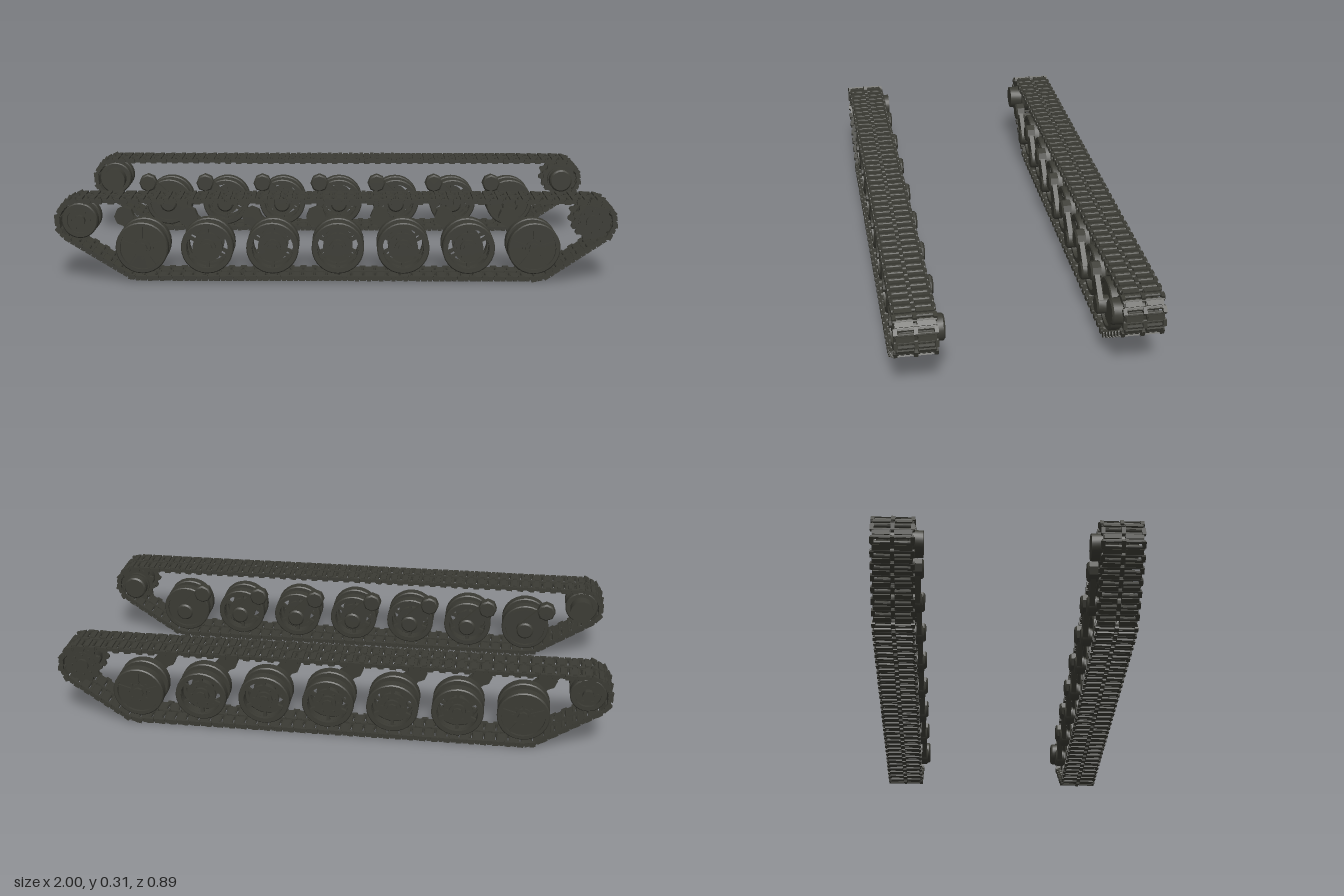
import * as THREE from 'three';
import { mergeGeometries, toCreasedNormals } from 'three/addons/utils/BufferGeometryUtils.js';

const WHEEL_Y = 0.12, WHEEL_R = 0.094, FIRST_X = -0.693, STEP = 0.2335;
const END_X = 0.912, END_Y = 0.219, TRACK_Z = 0.372;
const TYRES = [[0.315, 0.355], [0.389, 0.429]];

function plain(g) {
  return g.index ? g.toNonIndexed() : g;
}

function join(...parts) {
  return mergeGeometries(parts.map(plain));
}

// Surface of revolution about z from [radius, z] points
function turned(points, sides = 28) {
  const g = new THREE.LatheGeometry(points.map(([r, z]) => new THREE.Vector2(r, z)), sides);
  return toCreasedNormals(g.rotateX(Math.PI / 2), 0.6);
}

function disc(r, z0, z1, sides = 24) {
  return turned([[0, z0], [r, z0], [r, z1], [0, z1]], sides);
}

// Hub whose inner edge (z0) is bevelled
function bevelledDisc(r, z0, z1, sides = 16) {
  return turned([[0, z0], [r - 0.006, z0], [r, z0 + 0.006], [r, z1], [0, z1]], sides);
}

function ring(r0, r1, z0, z1) {
  return turned([[r0, z0], [r1 - 0.004, z0], [r1, z0 + 0.004], [r1, z1 - 0.004], [r1 - 0.004, z1], [r0, z1], [r0, z0]]);
}

function plate(shape, z0, z1) {
  return new THREE.ExtrudeGeometry(shape, { depth: z1 - z0, bevelEnabled: false, curveSegments: 8 }).translate(0, 0, z0);
}

function bolts(count, radius, z0, z1) {
  return Array.from({ length: count }, (_, i) => {
    const a = (i / count) * Math.PI * 2;
    return disc(0.005, z0, z1, 6).translate(radius * Math.cos(a), radius * Math.sin(a), 0);
  });
}

// Reflect front to back, keeping the faces outward
function mirrored(g) {
  const out = g.clone();
  for (const name of ['position', 'normal']) {
    const at = out.attributes[name];
    for (let i = 0; i < at.count; i += 3) {
      const p = [0, 1, 2].map(k => [at.getX(i + k), at.getY(i + k), -at.getZ(i + k)]);
      [2, 1, 0].forEach((k, j) => at.setXYZ(i + j, ...p[k]));
    }
  }
  return out;
}

// Loop of the track around the four corner wheels
function trackPath() {
  const lastX = FIRST_X + 6 * STEP;
  const c = [[FIRST_X, WHEEL_Y, 0.107], [lastX, WHEEL_Y, 0.107], [END_X, END_Y, 0.074], [-END_X, END_Y, 0.074]];
  const angles = c.map(([x, y, r], i) => {
    const [x2, y2, r2] = c[(i + 1) % 4];
    return Math.atan2(y2 - y, x2 - x) - Math.acos((r - r2) / Math.hypot(x2 - x, y2 - y));
  });
  const path = new THREE.Path();
  c.forEach(([x, y, r], i) => path.absarc(x, y, r, angles[(i + 3) % 4], angles[i], false));
  path.closePath();
  return path;
}

// One link: x along the track, y outward
function linkGeometry(pitch) {
  const box = (l, h, w, x, y, z) => new THREE.BoxGeometry(l, h, w).translate(x, y, z);
  const parts = [];
  for (const s of [-1, 1]) {
    parts.push(box(pitch * 0.76, 0.012, 0.060, 0, 0, s * 0.036));
    parts.push(box(pitch * 0.34, 0.008, 0.056, 0, 0.008, s * 0.036));
    parts.push(box(pitch * 0.5, 0.018, 0.013, pitch / 2, 0, s * 0.066));
    const pin = new THREE.CylinderGeometry(0.007, 0.007, 0.14, 8).rotateX(Math.PI / 2);
    parts.push(pin.translate(s * pitch * 0.3, 0, 0));
  }
  parts.push(box(pitch * 0.55, 0.021, 0.013, pitch / 2, 0, 0));
  return join(...parts);
}

function trackGeometry() {
  const path = trackPath(), count = 96;
  const link = linkGeometry(path.getLength() / count);
  const links = [];
  for (let i = 0; i < count; i++) {
    const p = path.getPointAt(i / count), t = path.getTangentAt(i / count);
    // travel is anticlockwise, so outward is to the right of the tangent
    const m = new THREE.Matrix4().makeBasis(
      new THREE.Vector3(-t.x, -t.y, 0), new THREE.Vector3(t.y, -t.x, 0), new THREE.Vector3(0, 0, 1));
    m.setPosition(p.x, p.y, TRACK_Z);
    links.push(link.clone().applyMatrix4(m));
  }
  return mergeGeometries(links);
}

// Spoked web with curved openings
function webShape() {
  const s = new THREE.Shape().absarc(0, 0, 0.076, 0, Math.PI * 2, false);
  for (let i = 0; i < 6; i++) {
    const a = (i / 6) * Math.PI * 2, half = 0.43;
    const h = new THREE.Path();
    h.absarc(0, 0, 0.073, a - half, a + half, false);
    h.absarc(0, 0, 0.053, a + half, a - half, true);
    h.closePath();
    s.holes.push(h);
  }
  return s;
}

function openWheel() {
  const parts = [disc(0.03, 0.31, 0.425), disc(0.019, 0.425, 0.434, 8), ...bolts(6, 0.038, 0.405, 0.421)];
  for (const [z0, z1] of TYRES) {
    const mid = (z0 + z1) / 2;
    parts.push(ring(0.074, WHEEL_R, z0, z1), plate(webShape(), mid - 0.006, mid + 0.006));
  }
  return join(...parts);
}

function solidWheel() {
  const parts = [disc(0.03, 0.31, 0.425), disc(0.02, 0.425, 0.436, 8), ...bolts(8, 0.038, 0.415, 0.424)];
  for (const [z0, z1] of TYRES) {
    parts.push(ring(0.078, WHEEL_R, z0, z1), disc(0.08, z0 + 0.01, z1 - 0.01, 28));
  }
  // radial ribs on the outer face
  for (let i = 0; i < 5; i++) {
    parts.push(new THREE.BoxGeometry(0.055, 0.008, 0.008).translate(0.052, 0, 0.421).rotateZ(i * Math.PI * 0.4 + 0.3));
  }
  return join(...parts);
}

// Swing arm from the pivot down to the axle
function armGeometry() {
  const px = -0.08, py = 0.087, a = Math.atan2(py, px);
  const s = new THREE.Shape();
  s.absarc(0, 0, 0.033, a + Math.PI / 2, a + Math.PI * 1.5, false);
  s.absarc(px, py, 0.027, a - Math.PI / 2, a + Math.PI / 2, false);
  s.closePath();
  return join(plate(s, 0.285, 0.303), bevelledDisc(0.036, 0.274, 0.31, 8).translate(px, py, 0),
    bevelledDisc(0.034, 0.279, 0.312));
}

function sprocket() {
  const s = new THREE.Shape(), teeth = 12;
  for (let i = 0; i < teeth * 4; i++) {
    const a = ((i + 0.5) / (teeth * 4)) * Math.PI * 2, r = i % 4 < 2 ? 0.073 : 0.063;
    s[i ? 'lineTo' : 'moveTo'](r * Math.cos(a), r * Math.sin(a));
  }
  return join(plate(s, 0.322, 0.336), plate(s, 0.408, 0.422), disc(0.05, 0.31, 0.424),
    disc(0.024, 0.424, 0.434, 12), ...bolts(8, 0.039, 0.424, 0.43), bevelledDisc(0.045, 0.273, 0.31, 24));
}

function idler() {
  return join(ring(0.045, 0.064, 0.32, 0.358), ring(0.045, 0.064, 0.386, 0.424),
    disc(0.048, 0.33, 0.414), disc(0.02, 0.41, 0.432, 12), ...bolts(6, 0.033, 0.414, 0.42),
    disc(0.045, 0.273, 0.33));
}

export function createModel() {
  const model = new THREE.Group();
  model.name = 'trackedRunningGear';
  const darkOlive = new THREE.MeshStandardMaterial({ color: 0x3b3b34 });
  darkOlive.name = 'darkOlive';

  for (const front of [true, false]) {
    const side = new THREE.Group();
    side.name = front ? 'frontTrackAssembly' : 'backTrackAssembly';
    model.add(side);
    const add = (name, geo, x = 0, y = 0) => {
      const mesh = new THREE.Mesh(front ? geo : mirrored(geo), darkOlive);
      mesh.name = name;
      mesh.position.set(x, y, 0);
      side.add(mesh);
    };
    add('trackLinks', trackGeometry());
    add('driveSprocket', sprocket(), END_X, END_Y);
    add('idlerWheel', idler(), -END_X, END_Y);
    for (let i = 0; i < 7; i++) {
      const x = FIRST_X + i * STEP;
      add('roadWheel' + (i + 1), i === 0 || i === 6 ? solidWheel() : openWheel(), x, WHEEL_Y);
      add('swingArm' + (i + 1), armGeometry(), x, WHEEL_Y);
    }
  }
  return model;
}
